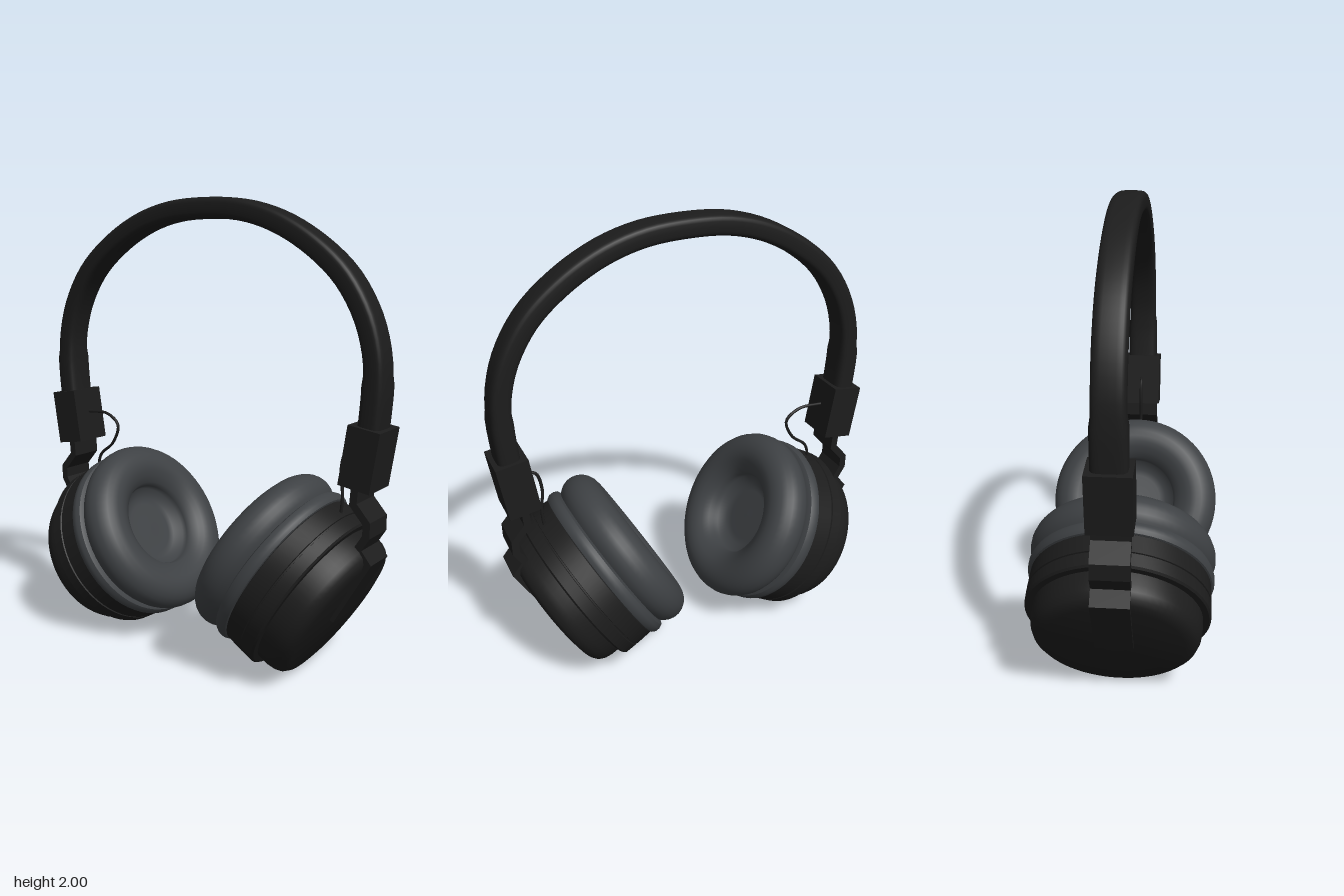
import * as THREE from 'three';
import { toCreasedNormals } from 'three/addons/utils/BufferGeometryUtils.js';
import { ParametricGeometry } from 'three/addons/geometries/ParametricGeometry.js';

const black = new THREE.MeshStandardMaterial({ color: 0x1c1c1c });
const grey = new THREE.MeshStandardMaterial({ color: 0x3e4144 });
const v2 = (pts) => pts.map(([x, y]) => new THREE.Vector2(x, y));
const v3 = (pts) => pts.map(([x, y]) => new THREE.Vector3(x, y, 0));

function mesh(name, geometry, material) {
  const m = new THREE.Mesh(geometry, material);
  m.name = name;
  return m;
}

// Turned part from [radius, height] points; only hard corners stay sharp
const turned = (pts) => toCreasedNormals(new THREE.LatheGeometry(v2(pts), 64), 0.6);

// Rounded strap swept over one planar arch
function headband() {
  const half = [[0.8, 1.04], [0.81, 1.14], [0.817, 1.26], [0.81, 1.38], [0.765, 1.53],
    [0.67, 1.68], [0.53, 1.80], [0.36, 1.893], [0.19, 1.942]];
  const curve = new THREE.CatmullRomCurve3(
    v3([...half, [0, 1.955], ...half.map(([x, y]) => [-x, y]).reverse()]));
  const soft = (c) => Math.sign(c) * Math.sqrt(Math.abs(c));
  return new ParametricGeometry((u, v, target) => {
    const p = curve.getPointAt(u), t = curve.getTangentAt(u), a = v * Math.PI * 2;
    const fat = p.y < 1.3 ? 1.1 : 1;
    const n = 0.045 * fat * soft(Math.cos(a));
    target.set(p.x + t.y * n, p.y - t.x * n, 0.065 * fat * soft(Math.sin(a)));
  }, 64, 32);
}

// Bent metal strip: polyline given thickness with mitred corners, extruded in z
function strip(points, thickness, depth) {
  const p = v2(points), a = [], b = [];
  p.forEach((q, i) => {
    const d0 = q.clone().sub(p[Math.max(i - 1, 0)]).normalize();
    const d1 = p[Math.min(i + 1, p.length - 1)].clone().sub(q).normalize();
    const d = d0.clone().add(d1).normalize();
    const cos = Math.max(0.6, d.dot(i ? d0 : d1));
    const n = new THREE.Vector2(-d.y, d.x).multiplyScalar(thickness / 2 / cos);
    a.push(q.clone().add(n));
    b.unshift(q.clone().sub(n));
  });
  const g = new THREE.ExtrudeGeometry(new THREE.Shape([...a, ...b]), { depth, bevelEnabled: false });
  return g.translate(0, 0, -depth / 2);
}

// Ear cup along local +y, which points away from the head
function earCup() {
  const cup = new THREE.Group();
  cup.name = 'earCup';
  cup.add(mesh('housing', turned([[0, -0.16], [0.372, -0.16], [0.382, -0.15], [0.386, -0.07],
    [0.38, -0.068], [0.38, -0.062], [0.386, -0.06], [0.386, -0.008], [0.378, 0], [0, 0]]), black));
  cup.add(mesh('outerCap', turned([[0, -0.02], [0.352, -0.02], [0.352, 0.05], [0.347, 0.08],
    [0.335, 0.105], [0.315, 0.121], [0.285, 0.128], [0, 0.13]]), black));
  cup.add(mesh('cushionRim', turned([[0, -0.215], [0.37, -0.215], [0.388, -0.207], [0.396, -0.19],
    [0.396, -0.17], [0.388, -0.155], [0.37, -0.15], [0, -0.15]]), grey));
  // Padded ring flowing into the shallow bowl at its middle
  const pad = [[0, -0.255], [0.12, -0.253], [0.15, -0.257]];
  for (let i = 0; i <= 16; i++) {
    const a = Math.PI * (1.1 - i / 16 * 1.4);
    pad.push([0.3 + 0.1 * Math.cos(a) - (a > 2.6 ? 0.01 : 0),
      -0.285 - 0.095 * Math.sin(a)]);
  }
  // Keep the hole side above the bowl floor
  const profile = pad.filter(([r, y], i) => i < 3 || r > 0.28 || y < -0.27);
  cup.add(mesh('cushion', new THREE.LatheGeometry(v2(profile), 64), grey));
  cup.position.set(0.562, 0.345, 0);
  cup.rotation.z = -Math.PI * 2 / 3;
  return cup;
}

// Everything hanging below one end of the band, on the +x side
function side(name, cablePoints) {
  const g = new THREE.Group();
  g.name = name;
  const slider = mesh('slider', new THREE.BoxGeometry(0.14, 0.25, 0.18), black);
  slider.position.set(0.787, 0.977, 0);
  slider.rotation.z = -0.15;
  g.add(slider);
  g.add(mesh('arm', strip([[0.772, 0.9], [0.764, 0.79], [0.825, 0.72], [0.825, 0.665],
    [0.788, 0.605], [0.832, 0.55], [0.677, 0.282]], 0.032, 0.155), black));
  g.add(earCup());
  const path = new THREE.CatmullRomCurve3(v3(cablePoints));
  g.add(mesh('cable', new THREE.TubeGeometry(path, 32, 0.007, 8), black));
  return g;
}

export function createModel() {
  const model = new THREE.Group();
  model.name = 'headphones';
  model.add(mesh('headband', headband(), black));
  model.add(side('leftSide', [[0.73, 1.0], [0.69, 0.985], [0.668, 0.9], [0.678, 0.8], [0.672, 0.7]]));
  const right = side('rightSide', [[0.73, 1.0], [0.6, 1.0], [0.535, 0.95], [0.57, 0.86],
    [0.65, 0.79], [0.672, 0.7]]);
  // Each side is symmetric front to back, so a half turn mirrors it
  right.rotation.y = Math.PI;
  model.add(right);
  // The whole set stands slightly turned
  model.rotation.y = THREE.MathUtils.degToRad(14.5);
  const root = new THREE.Group();
  root.add(model);
  return root;
}
